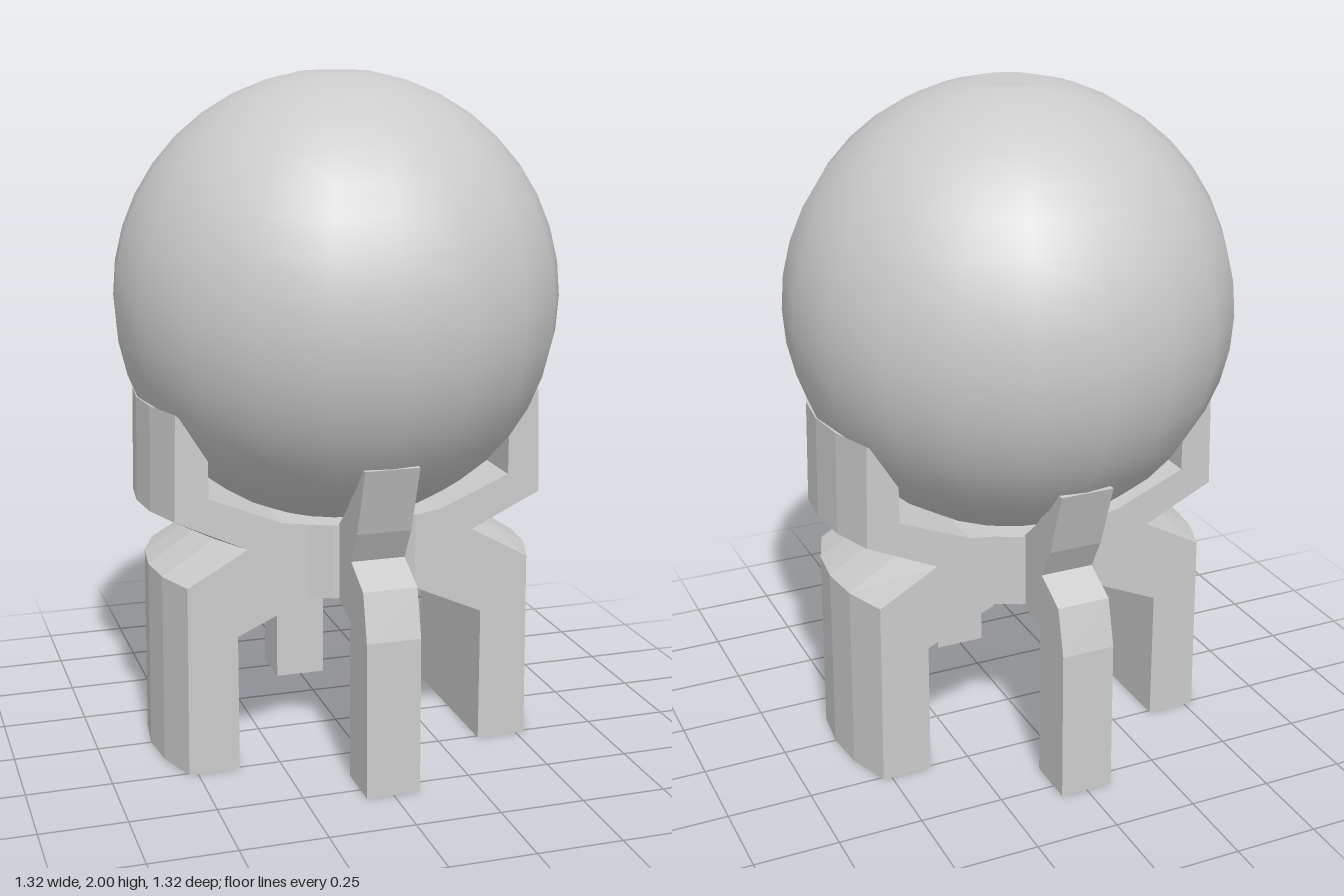
import * as THREE from 'three';

const R = 0.66, CENTRE_Y = 1.348, SEGMENTS = 20;
const HUB_R = 0.31;

const smooth = new THREE.MeshStandardMaterial({ color: 0xcccccc, side: THREE.DoubleSide });
const faceted = new THREE.MeshStandardMaterial({ color: 0xcccccc, side: THREE.DoubleSide, flatShading: true });

function part(name, geometry, material) {
  const mesh = new THREE.Mesh(geometry, material);
  mesh.name = name;
  return mesh;
}

// Hollow leg along +x. 'outer' holds [radius, y] going up, rounded about the y axis;
// 'top' and 'under' hold [x, y] of the flat inner faces down to the hub and back to the floor.
function legGeometry(halfWidth, stations, outer, top, under) {
  const bend = (r, z) => Math.sqrt(r * r - z * z);
  const sectionAt = (z) => [
    ...outer.map(([r, y]) => new THREE.Vector3(bend(r, z), y, z)),
    ...[...top, ...under].map(([x, y]) => new THREE.Vector3(x, y, z)),
  ];
  const sections = [];
  for (let k = 0; k <= stations; k++) {
    sections.push(sectionAt(-halfWidth + (2 * halfWidth * k) / stations));
  }
  const pos = [];
  const tri = (a, b, c) => [a, b, c].forEach((p) => pos.push(p.x, p.y, p.z));
  const count = sections[0].length;
  const hubEnd = outer.length + top.length - 1;

  // Skin between sections, open at the hub and at the foot
  for (let k = 0; k < stations; k++) {
    for (let j = 0; j < count - 1; j++) {
      if (j === hubEnd) continue;
      const a = sections[k][j], b = sections[k][j + 1];
      const c = sections[k + 1][j], d = sections[k + 1][j + 1];
      tri(a, b, c);
      tri(b, d, c);
    }
  }
  // Side walls
  const back = sections[0], front = sections[stations];
  const contour = front.map((p) => new THREE.Vector2(p.x, p.y));
  for (const [a, b, c] of THREE.ShapeUtils.triangulateShape(contour, [])) {
    tri(front[a], front[b], front[c]);
    tri(back[a], back[c], back[b]);
  }
  const geometry = new THREE.BufferGeometry();
  geometry.setAttribute('position', new THREE.Float32BufferAttribute(pos, 3));
  geometry.computeVertexNormals();
  return geometry;
}

export function createModel() {
  const model = new THREE.Group();
  model.name = 'ballOnStand';

  // Ball with small flat poles
  const ball = new THREE.Group();
  ball.name = 'ball';
  ball.position.y = CENTRE_Y;
  const step = Math.PI / SEGMENTS;
  ball.add(part('ballSurface',
    new THREE.SphereGeometry(R, SEGMENTS, SEGMENTS - 2, 0, Math.PI * 2, step, Math.PI - 2 * step), smooth));
  for (const s of [1, -1]) {
    const cap = part(s > 0 ? 'topCap' : 'bottomCap', new THREE.CircleGeometry(R * Math.sin(step), SEGMENTS), faceted);
    cap.rotation.x = (-s * Math.PI) / 2;
    cap.position.y = s * R * Math.cos(step);
    ball.add(cap);
  }
  model.add(ball);

  // Open hub joining the legs, with a rim under the ball
  const hub = part('hub', new THREE.CylinderGeometry(HUB_R, HUB_R, 0.22, SEGMENTS, 1, true), faceted);
  hub.position.y = 0.62;
  model.add(hub);
  const rim = part('hubRim', new THREE.RingGeometry(0.2, HUB_R, SEGMENTS), faceted);
  rim.rotation.x = -Math.PI / 2;
  rim.position.y = 0.73;
  model.add(rim);

  // Wide legs at the sides
  const wide = legGeometry(0.26, 4,
    [[0.587, 0], [0.582, 0.57], [0.43, 0.67], [0.612, 0.77], [0.605, 1.08]],
    [[0.535, 1.07], [0.455, 0.94], [0.455, 0.83], [0.24, 0.74], [0.165, 0.73]],
    [[0.165, 0.505], [0.375, 0.41], [0.375, 0]]);
  // Narrow legs at front and back
  const narrow = legGeometry(0.08, 1,
    [[0.563, 0], [0.558, 0.46], [0.523, 0.6], [0.415, 0.655], [0.467, 0.75], [0.537, 0.95]],
    [[0.50, 0.95], [0.37, 0.8], [0.29, 0.73]],
    [[0.29, 0.505], [0.4, 0.475], [0.4, 0]]);
  ['leftLeg', 'backLeg', 'rightLeg', 'frontLeg'].forEach((name, i) => {
    const leg = part(name, i % 2 ? narrow : wide, faceted);
    leg.rotation.y = (i * Math.PI) / 2;
    model.add(leg);
  });

  return model;
}
